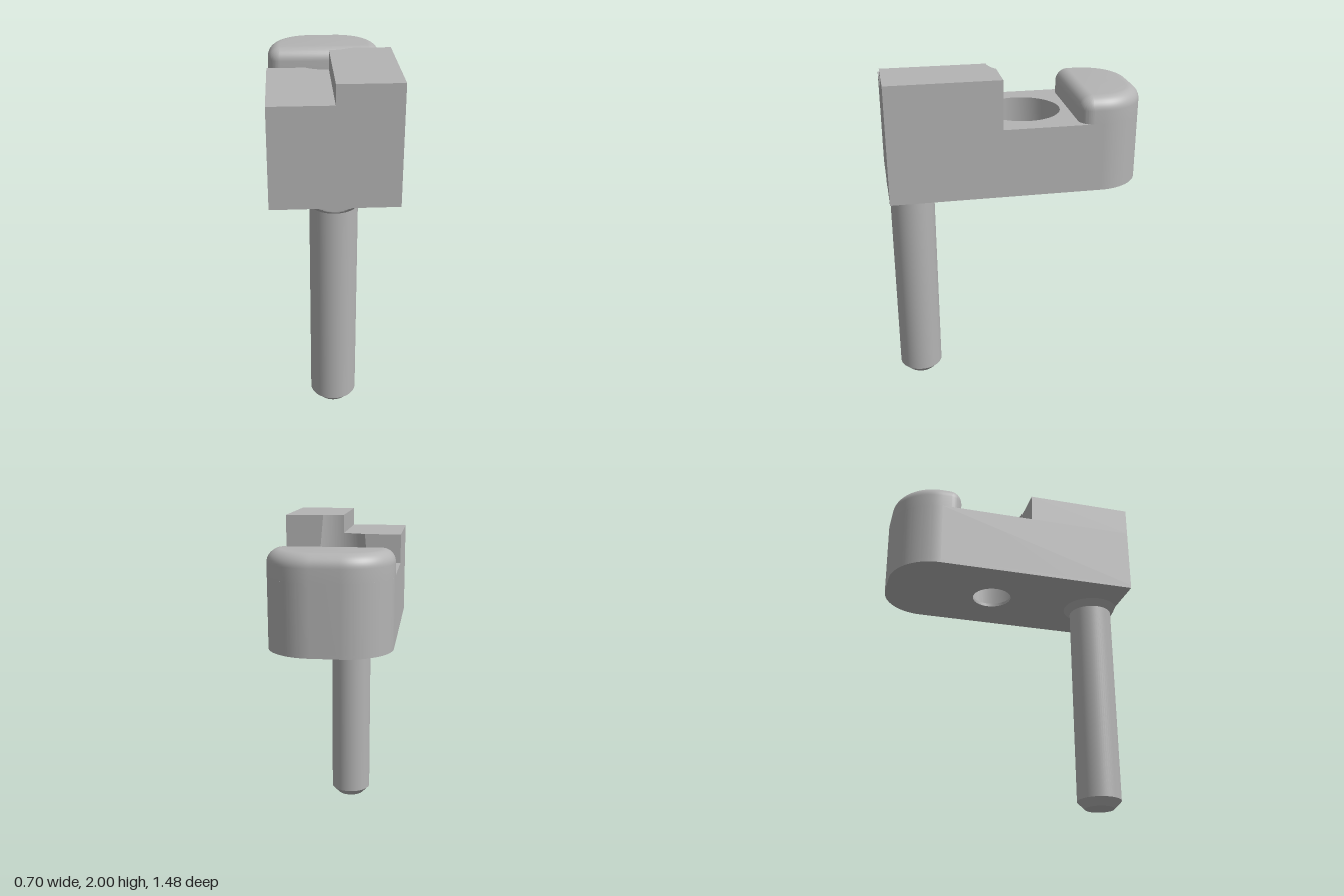
import * as THREE from 'three';
import { toCreasedNormals, mergeVertices } from 'three/addons/utils/BufferGeometryUtils.js';

const HALF = 0.35, END = 0.74;                  // half width and half length of the block
const BASE = 1.32, SEAT = 1.34, FLOOR = 1.72;   // underside, recess seat, middle deck
const STEP_Z = 0.10, HOLE_Z = -0.07;            // back face of the raised front, hole centre
const BACK_R = 0.27;                            // plan radius of the back corners
const PIN_Z = 0.595;

// the recess narrows slightly towards the top
const recessRadius = y => 0.225 - 0.057 * (y - FLOOR);

// extrude a plan shape (x, -z) upwards from y0 to y1
function slab(shape, y0, y1) {
  const g = new THREE.ExtrudeGeometry(shape, { depth: y1 - y0, bevelEnabled: false, curveSegments: 24 });
  g.rotateX(-Math.PI / 2);
  g.translate(0, y0, 0);
  return g;
}

function reshape(g, rule) {
  const p = g.attributes.position, v = new THREE.Vector3();
  for (let i = 0; i < p.count; i++) {
    rule(v.fromBufferAttribute(p, i));
    p.setXYZ(i, v.x, v.y, v.z);
  }
  return g;
}

// block plan with rounded back corners and a round hole
function blockPlan(holeRadius) {
  const s = new THREE.Shape();
  s.moveTo(-HALF, -END);
  s.lineTo(HALF, -END);
  s.absarc(HALF - BACK_R, END - BACK_R, BACK_R, 0, Math.PI / 2, false);
  s.absarc(BACK_R - HALF, END - BACK_R, BACK_R, Math.PI / 2, Math.PI, false);
  s.closePath();
  const h = new THREE.Path();
  h.absarc(0, -HOLE_Z, holeRadius, 0, Math.PI * 2, true);
  s.holes.push(h);
  return s;
}

// one half of the raised front, notched by the tapered recess
function raisedHalf(side, top) {
  const r0 = recessRadius(FLOOR), gap = STEP_Z - HOLE_Z, reach = Math.acos(gap / r0);
  const s = new THREE.Shape();
  s.moveTo(0, -END);
  s.lineTo(side * HALF, -END);
  s.lineTo(side * HALF, -STEP_Z);
  for (let i = 16; i >= 0; i--) {
    const a = reach * i / 16;
    s.lineTo(side * r0 * Math.sin(a), -(HOLE_Z + r0 * Math.cos(a)));
  }
  s.closePath();
  return reshape(slab(s, FLOOR, top), v => {
    if (Math.hypot(v.x, v.z - HOLE_Z) > r0 + 0.005) return;
    const r = recessRadius(v.y);
    const a = Math.atan2(v.x, v.z - HOLE_Z) * Math.acos(gap / r) / reach;
    v.x = r * Math.sin(a);
    v.z = HOLE_Z + r * Math.cos(a);
  });
}

// back lip: stacked plan outlines that shrink through the top fillet
function backLip() {
  const front = -0.34, top = 1.87, fillet = 0.075, fr = 0.08, n = 24, fs = 10;
  const corners = [
    [HALF - fr, -front + fr, fr], [HALF - BACK_R, END - BACK_R, BACK_R],
    [BACK_R - HALF, END - BACK_R, BACK_R], [fr - HALF, -front + fr, fr],
  ];
  const levels = [[0, FLOOR]];
  for (let i = 0; i <= fs; i++) {
    const a = Math.PI / 2 * i / fs;
    levels.push([fillet * (1 - Math.cos(a)), top - fillet + fillet * Math.sin(a)]);
  }
  const pos = [], idx = [], ring = corners.length * (n + 1);
  for (const [inset, y] of levels) {
    corners.forEach(([cx, cs, r], c) => {
      for (let i = 0; i <= n; i++) {
        const a = (c - 1 + i / n) * Math.PI / 2;
        pos.push(cx + (r - inset) * Math.cos(a), y, -(cs + (r - inset) * Math.sin(a)));
      }
    });
  }
  for (let l = 0; l < levels.length - 1; l++) {
    for (let i = 0; i < ring; i++) {
      const a = l * ring + i, b = l * ring + (i + 1) % ring;
      idx.push(a, b, b + ring, a, b + ring, a + ring);
    }
  }
  // flat top
  const last = (levels.length - 1) * ring, centre = pos.length / 3;
  pos.push(0, top, -0.54);
  for (let i = 0; i < ring; i++) idx.push(centre, last + i, last + (i + 1) % ring);
  const g = new THREE.BufferGeometry();
  g.setAttribute('position', new THREE.Float32BufferAttribute(pos, 3));
  g.setIndex(idx);
  return mergeVertices(g, 1e-5);
}

// pin with a chamfered foot and a flared collar trimmed flush with the front face
function pinGeometry() {
  const pts = [[0, 0], [0.088, 0], [0.132, 0.045], [0.132, 1.283]];
  for (let i = 1; i <= 8; i++) pts.push([0.132 + 0.038 * i / 8, 1.283 + (BASE - 1.283) * i / 8]);
  const g = new THREE.LatheGeometry(pts.map(p => new THREE.Vector2(...p)), 64);
  g.translate(0, 0, PIN_Z);
  return reshape(g, v => { v.z = Math.min(v.z, END); });
}

export function createModel() {
  const model = new THREE.Group();
  const grey = new THREE.MeshStandardMaterial({ color: 0xb4b4b4 });
  grey.name = 'plain grey';

  const add = (name, geometry) => {
    const mesh = new THREE.Mesh(toCreasedNormals(geometry, 0.45), grey);
    mesh.name = name;
    model.add(mesh);
  };

  add('bottomPlate', slab(blockPlan(0.12), BASE, SEAT));

  // main body, with its hole widened downwards
  const r0 = recessRadius(FLOOR);
  add('body', reshape(slab(blockPlan(r0), SEAT, FLOOR), v => {
    if (Math.hypot(v.x, v.z - HOLE_Z) > r0 + 0.005) return;
    const k = recessRadius(v.y) / r0;
    v.x *= k;
    v.z = HOLE_Z + (v.z - HOLE_Z) * k;
  }));

  add('raisedFrontLeft', raisedHalf(1, 2.0));
  add('raisedFrontRight', raisedHalf(-1, 1.89));
  add('backLip', backLip());
  add('pin', pinGeometry());
  return model;
}
